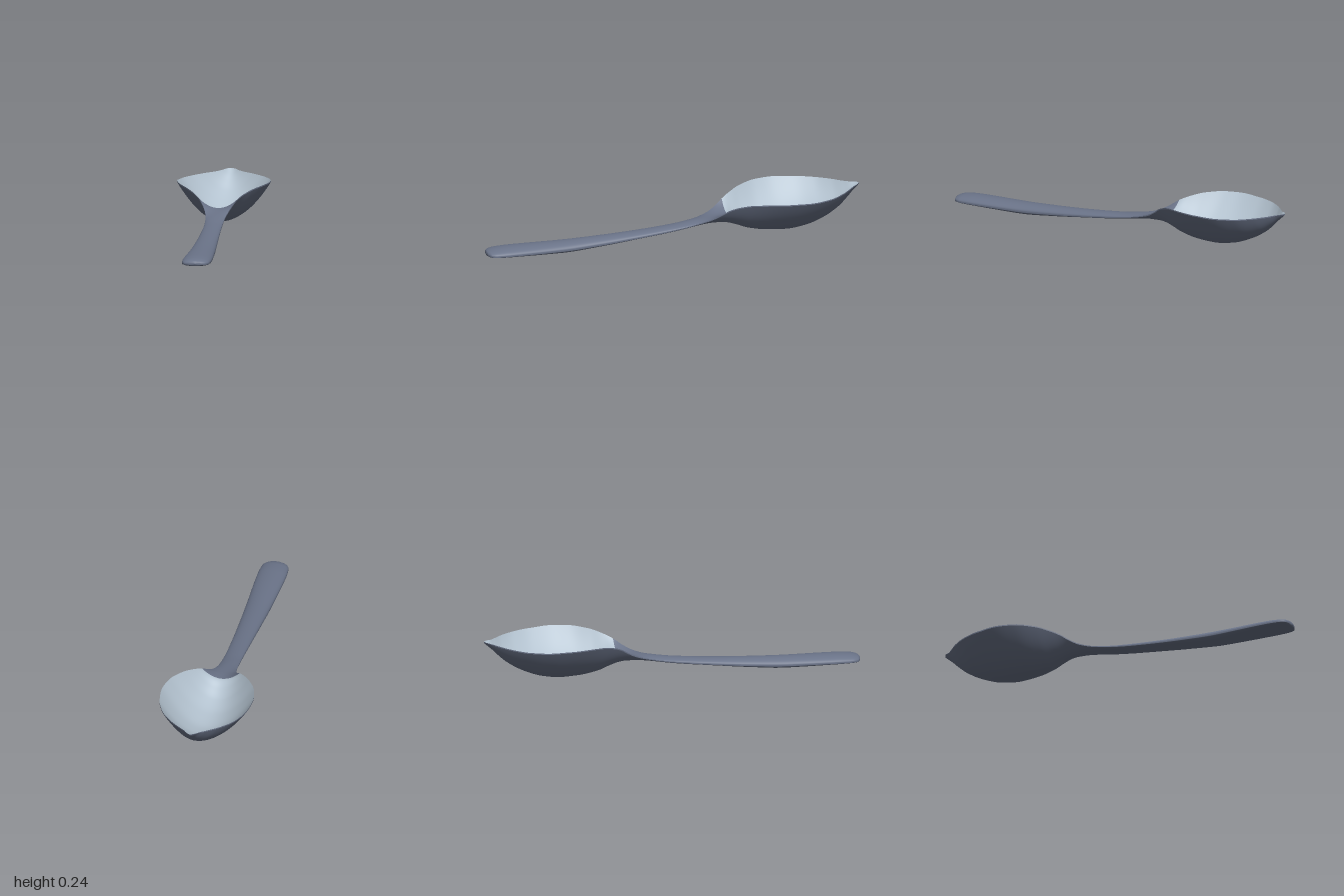
import * as THREE from 'three';

const slate = new THREE.MeshStandardMaterial({ color: 0x6a7388 });
slate.name = 'slate';
const paleSteel = new THREE.MeshStandardMaterial({ color: 0xb3c2cf });
paleSteel.name = 'paleSteel';

// Cross-sections from handle end to spout: z, half width, edge y, top centre y, bottom centre y
const SECTIONS = [
  [1.0, 0, 0.022, 0.024, 0.02],
  [0.995, 0.035, 0.022, 0.034, 0.011],
  [0.98, 0.06, 0.022, 0.041, 0.008],
  [0.95, 0.071, 0.022, 0.047, 0.006],
  [0.88, 0.075, 0.023, 0.052, 0.004],
  [0.6, 0.066, 0.026, 0.057, 0.0],
  [0.4, 0.058, 0.038, 0.065, 0.017],
  [0.2, 0.051, 0.056, 0.077, 0.041],
  [0, 0.047, 0.08, 0.095, 0.065],
  [-0.12, 0.05, 0.103, 0.113, 0.084],
  [-0.2, 0.062, 0.128, 0.124, 0.092],
  [-0.25, 0.079, 0.155, 0.13, 0.092],
  [-0.29, 0.101, 0.182, 0.133, 0.087],
  [-0.34, 0.134, 0.204, 0.105, 0.072],
  [-0.4, 0.175, 0.221, 0.071, 0.051],
  [-0.5, 0.225, 0.231, 0.047, 0.035],
  [-0.6, 0.243, 0.232, 0.042, 0.031],
  [-0.7, 0.231, 0.228, 0.057, 0.045],
  [-0.8, 0.192, 0.228, 0.095, 0.081],
  [-0.88, 0.13, 0.231, 0.14, 0.128],
  [-0.93, 0.075, 0.234, 0.185, 0.172],
  [-0.96, 0.042, 0.238, 0.213, 0.202],
  [-0.985, 0.023, 0.242, 0.232, 0.224],
  [-1.0, 0, 0.243, 0.243, 0.237],
];
const STEPS = 6;
const ACROSS = 40;
const BOWL_START = SECTIONS.findIndex((s) => s[0] === -0.29) * STEPS;

// Slope of one column at a section, limited so the curve never overshoots
function slope(i, c) {
  const d = (k) => (SECTIONS[k + 1][c] - SECTIONS[k][c]) / (SECTIONS[k + 1][0] - SECTIONS[k][0]);
  if (i === 0) return d(0);
  if (i === SECTIONS.length - 1) return d(i - 1);
  const a = d(i - 1), b = d(i);
  return a * b <= 0 ? 0 : (2 * a * b) / (a + b);
}

// Smoothly interpolated sections
function buildRows() {
  const rows = [];
  for (let i = 0; i < SECTIONS.length - 1; i++) {
    const p = SECTIONS[i], q = SECTIONS[i + 1], h = q[0] - p[0];
    for (let s = 0; s < STEPS; s++) {
      const t = s / STEPS, t2 = t * t, t3 = t2 * t;
      rows.push(p.map((v, c) => c === 0 ? v + h * t
        : (2 * t3 - 3 * t2 + 1) * v + (t3 - 2 * t2 + t) * h * slope(i, c)
          + (3 * t2 - 2 * t3) * q[c] + (t3 - t2) * h * slope(i + 1, c)));
    }
  }
  rows.push(SECTIONS[SECTIONS.length - 1]);
  return rows;
}

// Point on a section: elliptical on the handle, parabolic in the bowl
function sectionPoint([z, w, edge, top, bottom], u, side) {
  const angle = (u - 0.5) * Math.PI;
  const power = 1.1 + 0.9 * (1 - THREE.MathUtils.smoothstep(z, -0.3, 0.1));
  const bulge = Math.pow(Math.max(0, Math.cos(angle)), power);
  const lip = side === 'top' ? 0 : 0.006 * Math.min(1, w / 0.06);
  const y = edge - lip;
  const centre = side === 'top' ? top : bottom;
  return [w * Math.sin(angle), y + (centre - y) * bulge, z];
}

// Surface grid; columns run left to right, rows run backwards
function gridGeometry(rows, columns, point, flip) {
  const positions = [], index = [];
  rows.forEach((row) => {
    for (let j = 0; j <= columns; j++) positions.push(...point(row, j / columns));
  });
  for (let i = 0; i < rows.length - 1; i++) {
    for (let j = 0; j < columns; j++) {
      const a = i * (columns + 1) + j, b = a + 1, d = a + columns + 1, e = d + 1;
      if (flip) index.push(a, d, b, b, d, e);
      else index.push(a, b, d, b, e, d);
    }
  }
  const geometry = new THREE.BufferGeometry();
  geometry.setAttribute('position', new THREE.Float32BufferAttribute(positions, 3));
  geometry.setIndex(index);
  geometry.computeVertexNormals();
  return geometry;
}

export function createModel() {
  const group = new THREE.Group();
  group.name = 'spoon';
  const rows = buildRows();
  const add = (name, geometry, material) => {
    const mesh = new THREE.Mesh(geometry, material);
    mesh.name = name;
    group.add(mesh);
  };

  // Upper face: slate handle, pale bowl interior
  const upper = gridGeometry(rows, ACROSS, (r, u) => sectionPoint(r, u, 'top'), false);
  const split = BOWL_START * ACROSS * 6;
  upper.addGroup(0, split, 0);
  upper.addGroup(split, upper.index.count - split, 1);
  add('handleTopAndBowlInterior', upper, [slate, paleSteel]);

  // Underside of handle and bowl
  add('underside', gridGeometry(rows, ACROSS, (r, u) => sectionPoint(r, u, 'bottom'), true), slate);

  // Thin edge joining both faces on each side
  for (const [name, u, flip] of [['leftRim', 1, false], ['rightRim', 0, true]]) {
    add(name, gridGeometry(rows, 1, (r, v) => sectionPoint(r, u, v === 0 ? 'top' : 'bottom'), flip), slate);
  }
  return group;
}
